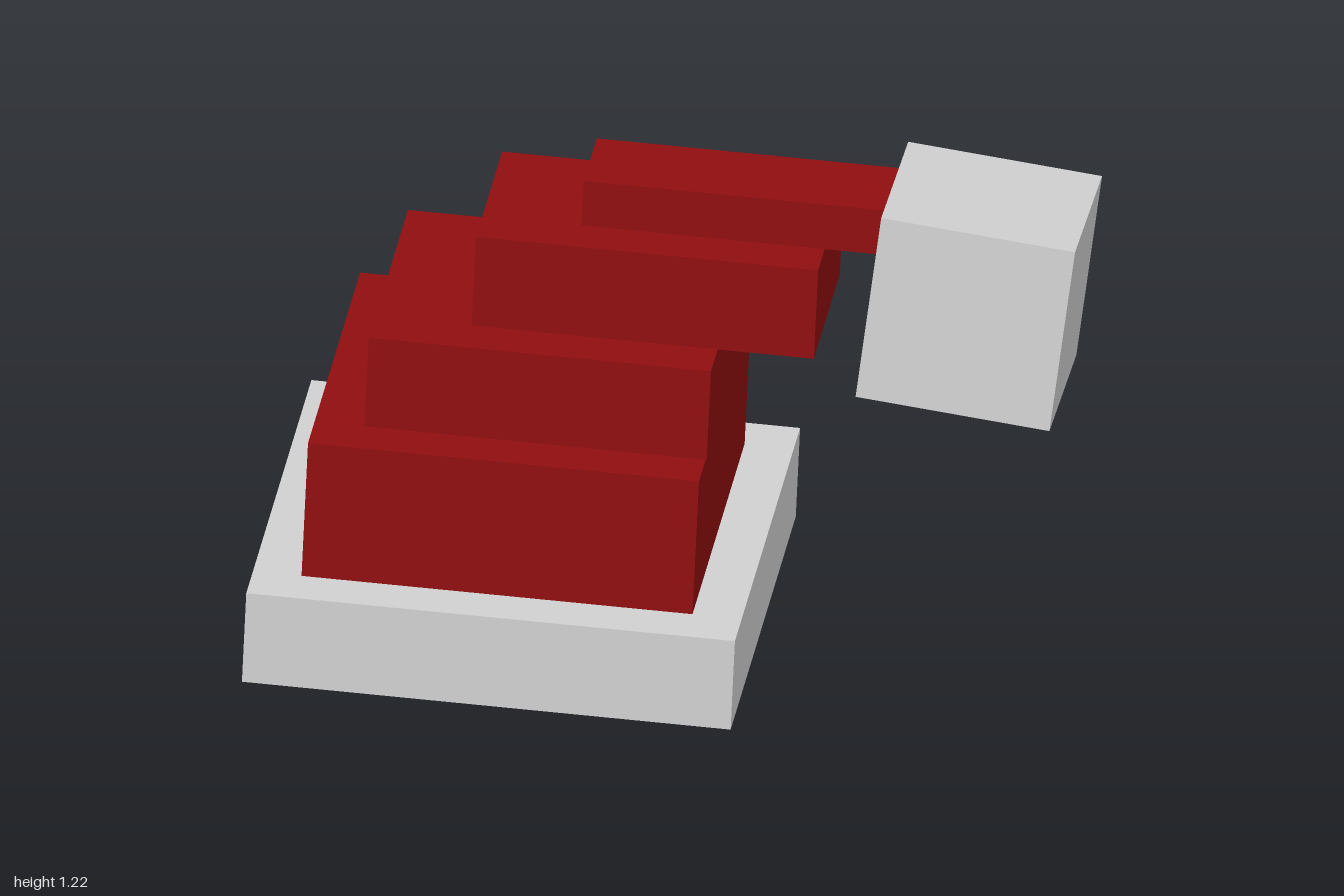
import * as THREE from 'three';

export function createModel() {
  const group = new THREE.Group();
  const red = new THREE.MeshStandardMaterial({ name: 'red cloth', color: 0x900d0f });
  const white = new THREE.MeshStandardMaterial({ name: 'pale trim', color: 0xd0d0d0 });
  red.flatShading = white.flatShading = true;

  function block(name, material, size, center, rotation) {
    const mesh = new THREE.Mesh(new THREE.BoxGeometry(...size), material);
    mesh.name = name;
    mesh.position.set(...center);
    mesh.rotation.set(...rotation);
    group.add(mesh);
  }

  // Brim and stacked tiers share one slight sideways lean
  const lean = [0, 0, -0.044];
  block('brim', white, [1.2, 0.24, 1.2], [-0.395, 0.149, 0], lean);
  block('lowerTier', red, [0.96, 0.36, 0.96], [-0.382, 0.451, 0], lean);
  block('middleTier', red, [0.84, 0.24, 0.72], [-0.306, 0.749, 0], lean);
  block('upperTier', red, [0.84, 0.24, 0.48], [-0.059, 0.98, 0], lean);

  // Thin top tier reaches into the hanging bobble
  block('tipTier', red, [0.8, 0.12, 0.24], [0.172, 1.15, 0], lean);
  block('bobble', white, [0.48, 0.48, 0.48], [0.728, 0.946, 0], [-0.05, -0.005, -0.125]);

  return group;
}
